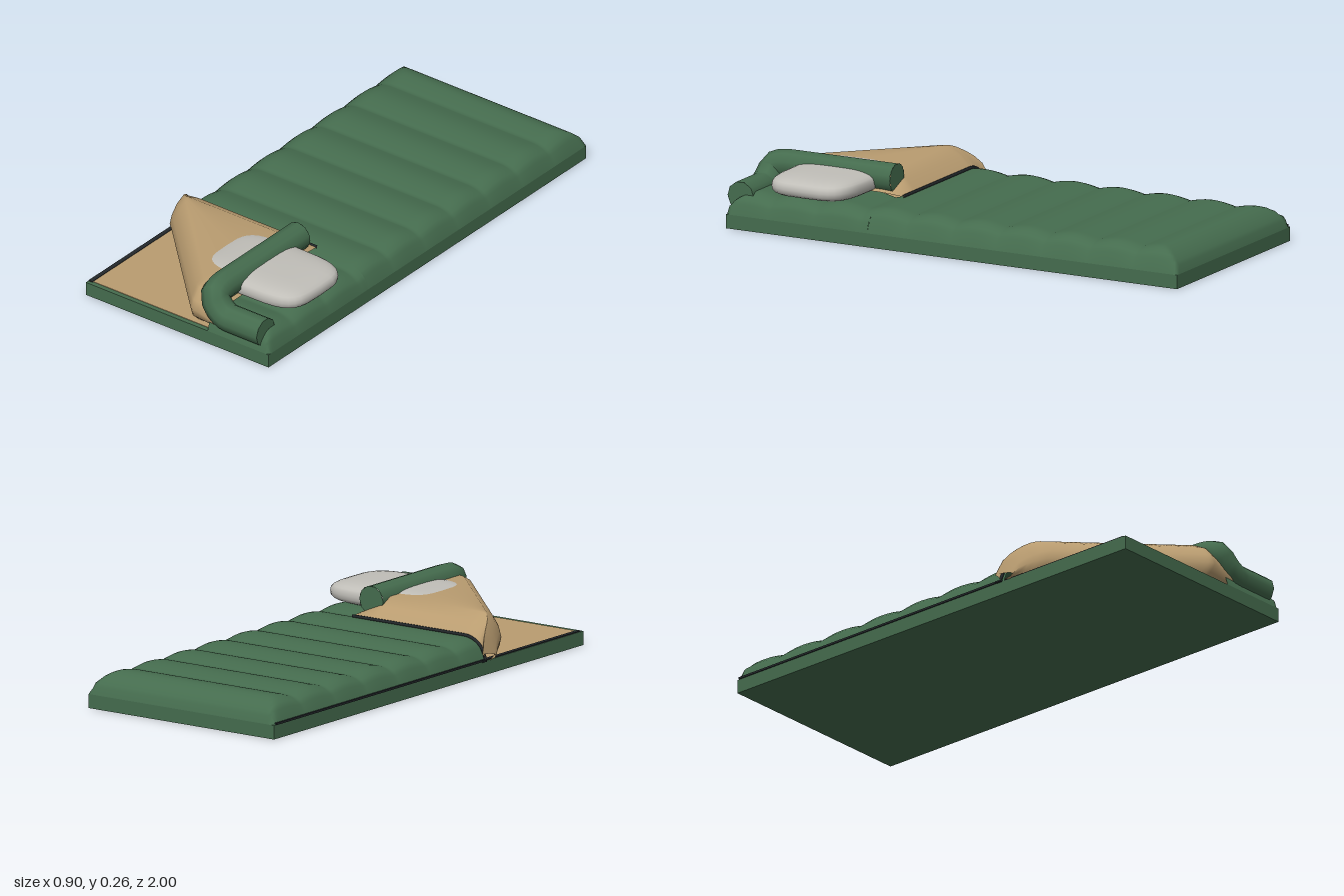
import * as THREE from 'three';

const mat = (name, color, side = THREE.FrontSide) => {
  const m = new THREE.MeshStandardMaterial({ color, side });
  m.name = name;
  return m;
};

// Smooth surface from a rule (u, v) -> [x, y, z], both running 0..1
function surface(nu, nv, rule) {
  const pos = [], index = [];
  for (let i = 0; i <= nu; i++) {
    for (let j = 0; j <= nv; j++) {
      pos.push(...rule(i / nu, j / nv));
      if (i < nu && j < nv) {
        const a = i * (nv + 1) + j, b = a + nv + 1;
        index.push(a, a + 1, b, b, a + 1, b + 1);
      }
    }
  }
  const g = new THREE.BufferGeometry();
  g.setAttribute('position', new THREE.Float32BufferAttribute(pos, 3));
  g.setIndex(index);
  g.computeVertexNormals();
  return g;
}

const BASE = 0.055, LEFT = -0.44, RIGHT = 0.445, BACK = -1, FRONT = 0.98, FOLD = 0.35;
const lerp = THREE.MathUtils.lerp;

// Rounded shoulder: 0 at the rim, 1 once d is past the width w
const shoulder = (d, w) => {
  const t = 1 - THREE.MathUtils.clamp(d / w, 0, 1);
  return Math.sqrt(Math.max(0, 1 - t * t));
};

// Height of the quilted cover, with a stitched valley every 0.2
function quilt(x, z) {
  const puff = 0.073 + 0.016 * Math.abs(Math.sin(Math.PI * z / 0.2));
  const across = Math.min(shoulder(x - LEFT, 0.1), shoulder(RIGHT - x, 0.1));
  const along = Math.min(shoulder(z - BACK, 0.12), shoulder(FRONT - z, 0.12));
  return BASE + puff * Math.min(across, along);
}

const quiltPatch = (x0, x1, z0, z1, nx, nz) => surface(nx, nz, (u, v) => {
  const x = lerp(x0, x1, u), z = lerp(z0, z1, v);
  return [x, quilt(x, z), z];
});

// Folded-back corner: one section per x, from the back edge over the top to the foot
const flapBack = (x) => quilt(Math.max(x, LEFT), FOLD) + 0.006;
function flapSection(x) {
  let top = 0.218;
  if (x < -0.35) top = 0.065 + 0.153 * Math.sqrt(Math.max(0, 1 - ((-0.35 - x) / 0.1) ** 2));
  if (x > 0.09) top = lerp(0.218, 0.152, (x - 0.09) / 0.1);
  const out = Math.min(x + 0.91 - Math.max(0, -0.4 - x), 0.975);
  const y = (f) => BASE + (top - BASE) * f;
  const back = Math.min(flapBack(x), top);
  const crest = Math.min(0.45, out - 0.09);
  return [
    [FOLD, back], [lerp(FOLD, crest, 0.45), lerp(back, top, 0.6)], [crest, top],
    [lerp(crest, out - 0.085, 0.5), top], [out - 0.085, y(1)], [out - 0.045, y(0.87)],
    [out - 0.012, y(0.62)], [out, y(0.4)], [out - 0.012, y(0.18)], [out - 0.045, y(0)],
  ];
}

export function createModel() {
  const green = mat('quilt green', 0x456c4e);
  const greenOpen = mat('quilt green', 0x456c4e, THREE.DoubleSide);
  greenOpen.dispose();
  green.side = THREE.DoubleSide;
  const tan = mat('lining tan', 0xb99c70, THREE.DoubleSide);
  const grey = mat('pillow grey', 0xc0beb8);
  const black = mat('zip black', 0x23282b);

  const model = new THREE.Group();
  model.name = 'sleepingBag';
  const add = (name, geometry, material, x = 0, y = 0, z = 0) => {
    const m = new THREE.Mesh(geometry, material);
    m.name = name;
    m.position.set(x, y, z);
    model.add(m);
    return m;
  };
  const box = (name, material, x0, x1, y0, y1, z0, z1) =>
    add(name, new THREE.BoxGeometry(x1 - x0, y1 - y0, z1 - z0), material,
      (x0 + x1) / 2, (y0 + y1) / 2, (z0 + z1) / 2);

  // Mattress and exposed lining
  box('base', green, LEFT, RIGHT, 0, BASE, BACK, FRONT);
  box('lining', tan, -0.42, 0.19, BASE - 0.004, BASE + 0.002, FOLD, 0.96);

  // Quilted cover: full width behind the fold, right part beside it
  add('cover', quiltPatch(LEFT, RIGHT, BACK, FOLD + 0.01, 48, 136), green);
  add('coverSide', quiltPatch(0.15, RIGHT, FOLD + 0.01, FRONT, 24, 64), green);

  // Folded flap
  const sections = 48, points = flapSection(0).length - 1;
  add('flap', surface(sections, points, (u, v) => {
    const x = lerp(-0.449, 0.19, u);
    const [z, y] = flapSection(x)[Math.round(v * points)];
    return [x, y, z];
  }), tan);

  // Zip along the open side and the flap's edge
  box('zipSide', black, LEFT - 0.004, LEFT + 0.006, BASE, BASE + 0.008, BACK + 0.01, FOLD);
  box('zipLining', black, LEFT + 0.002, -0.42, BASE - 0.004, BASE + 0.004, FOLD, 0.965);
  const edge = [];
  for (let i = 0; i <= 32; i++) {
    const x = lerp(-0.446, 0.19, i / 32);
    edge.push(new THREE.Vector3(x, Math.min(flapBack(x), flapSection(x)[2][1]), FOLD - 0.002));
  }
  add('zipFlap', new THREE.TubeGeometry(new THREE.CatmullRomCurve3(edge), 48, 0.006, 6), black);
  box('zipPull', black, -0.45, -0.438, 0.054, 0.06, 0.325, 0.35);

  // Pillow: a sphere squared off into a soft cushion
  const pillow = new THREE.SphereGeometry(1, 32, 16);
  const p = pillow.attributes.position;
  const soft = (n, e) => Math.sign(n) * Math.abs(n) ** e;
  for (let i = 0; i < p.count; i++) {
    const y = p.getY(i), r = Math.sqrt(Math.max(0, 1 - y * y));
    const c = r > 1e-6 ? p.getX(i) / r : 0, s = r > 1e-6 ? p.getZ(i) / r : 0;
    const w = soft(r, 0.55);
    p.setXYZ(i, 0.253 * w * soft(c, 0.5), 0.046 * soft(y, 0.7), 0.18 * w * soft(s, 0.5));
  }
  pillow.computeVertexNormals();
  add('pillow', pillow, grey, 0.192, 0.182, 0.65);

  // Hood roll: straight run, bend down at the front, short run to the side
  const v = (x, y, z) => new THREE.Vector3(x, y, z);
  const path = new THREE.CurvePath();
  const a = v(0.14, 0.203, 0.4), b = v(0.14, 0.203, 0.85);
  const c = v(0.15, 0.185, 0.935), d = v(0.24, 0.122, 0.94), e = v(0.4, 0.122, 0.94);
  path.add(new THREE.LineCurve3(a, b));
  path.add(new THREE.QuadraticBezierCurve3(b, v(0.14, 0.203, 0.92), c));
  path.add(new THREE.QuadraticBezierCurve3(c, v(0.19, 0.122, 0.945), d));
  path.add(new THREE.LineCurve3(d, e));
  const R = 0.057;
  add('hoodRoll', new THREE.TubeGeometry(path, 40, R, 10), green);
  add('hoodRollEnd', new THREE.CircleGeometry(R, 10), green, a.x, a.y, a.z).rotation.y = Math.PI;
  add('hoodRollEnd', new THREE.CircleGeometry(R, 10), green, e.x, e.y, e.z).rotation.y = Math.PI / 2;

  return model;
}
